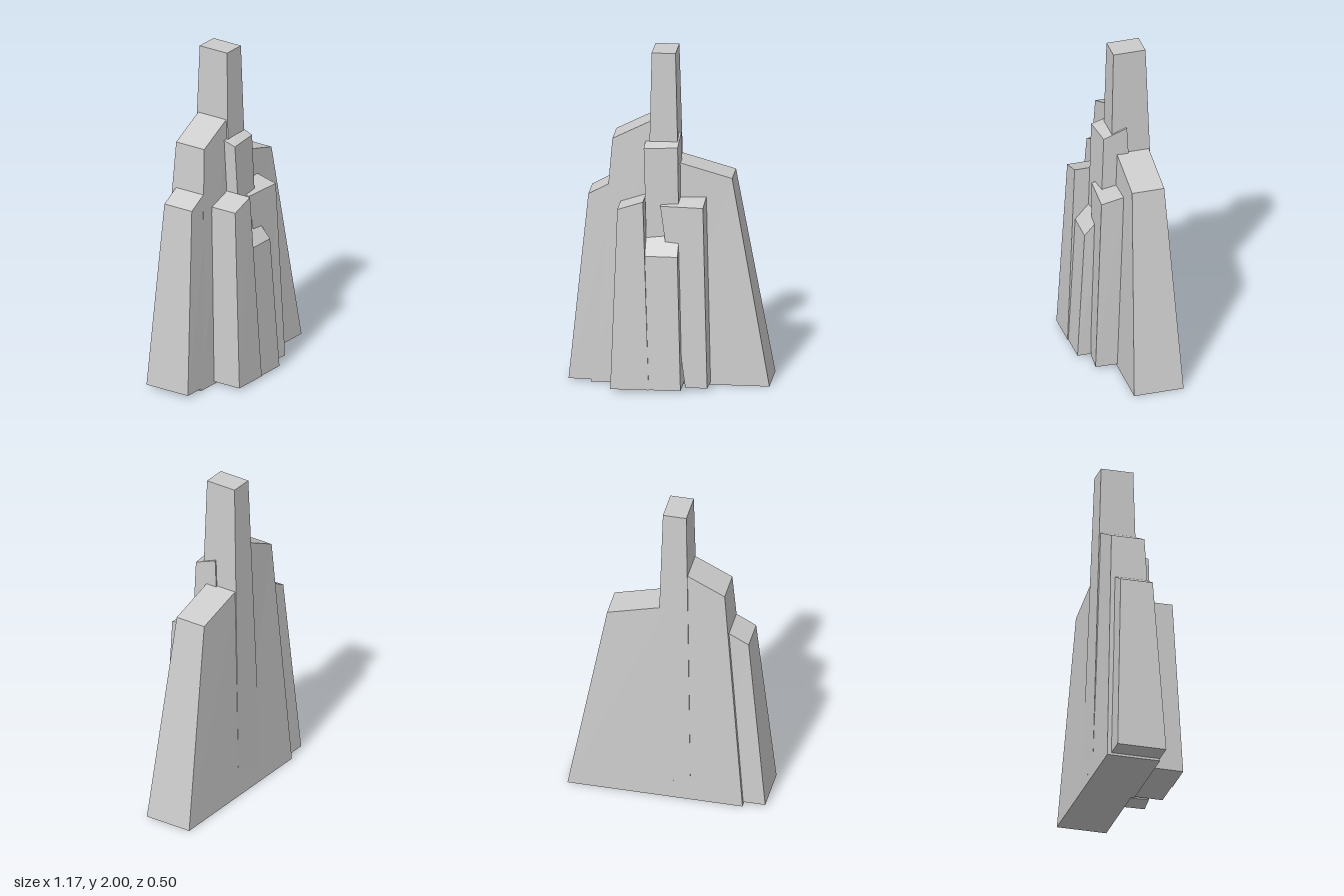
import * as THREE from 'three';

const material = new THREE.MeshStandardMaterial({ color: 0xcccccc, flatShading: true });

// Tapered slab: four foot corners [x, z] at height y, four crown corners [x, y, z].
// Corner order: back right (-x), back left (+x), front left (+x), front right (-x).
function slab(name, y, foot, crown) {
  const geometry = new THREE.BoxGeometry(2, 2, 2);
  const p = geometry.attributes.position;
  for (let i = 0; i < p.count; i++) {
    const left = p.getX(i) > 0;
    const c = p.getZ(i) > 0 ? (left ? 2 : 3) : (left ? 1 : 0);
    if (p.getY(i) > 0) p.setXYZ(i, ...crown[c]);
    else p.setXYZ(i, foot[c][0], y, foot[c][1]);
  }
  geometry.computeVertexNormals();
  const mesh = new THREE.Mesh(geometry, material);
  mesh.name = name;
  return mesh;
}

// Corners of an axis-aligned foot, and of a crown with its own height at each x side
const foot = (x0, x1, z0, z1) => [[x0, z0], [x1, z0], [x1, z1], [x0, z1]];
const crown = (x0, x1, z0, z1, y0, y1) =>
  [[x0, y0, z0], [x1, y1, z0], [x1, y1, z1], [x0, y0, z1]];

export function createModel() {
  const group = new THREE.Group();
  group.name = 'rockSpire';
  group.add(
    // Tall pillar and the broad slabs on either side
    slab('tallPillar', 0.005, foot(-0.15, 0.08, -0.249, 0.06),
      crown(-0.11, 0.03, -0.185, 0.01, 2, 2)),
    slab('leftSlab', 0, foot(-0.05, 0.585, -0.25, 0.05),
      crown(0, 0.36, -0.2, -0.005, 1.345, 1.245)),
    slab('rightSlab', 0, foot(-0.46, 0.07, -0.25, 0.07),
      crown(-0.34, -0.1, -0.19, 0.01, 1.47, 1.592)),
    slab('outerRightSlab', 0.015, foot(-0.59, -0.25, -0.225, 0.07),
      crown(-0.48, -0.3, -0.175, 0.02, 1.13, 1.228)),

    // Smaller blocks stacked against the front
    slab('upperFrontBlock', 0.015,
      [[-0.1, -0.12], [0.075, -0.14], [0.075, 0.13], [-0.1, 0.15]],
      [[-0.145, 1.475, -0.03], [0.055, 1.5, -0.065], [0.05, 1.445, 0.075], [-0.147, 1.44, 0.092]]),
    slab('frontRightBlock', 0.015, foot(-0.325, -0.1, 0.0, 0.25),
      crown(-0.29, -0.14, 0.03, 0.195, 1.095, 1.145)),
    slab('lowFrontBlock', 0.015, foot(-0.11, 0.086, 0.02, 0.245),
      [[-0.13, 0.93, 0.09], [0.062, 0.93, 0.09], [0.062, 0.815, 0.195], [-0.13, 0.815, 0.195]]),
    slab('frontLeftBlock', 0.015,
      [[0.11, 0.03], [0.24, 0.045], [0.235, 0.18], [0.105, 0.168]],
      [[-0.035, 1.125, -0.01], [0.21, 1.13, 0.0], [0.205, 1.1, 0.135], [-0.047, 1.1, 0.12]]),
  );
  return group;
}
